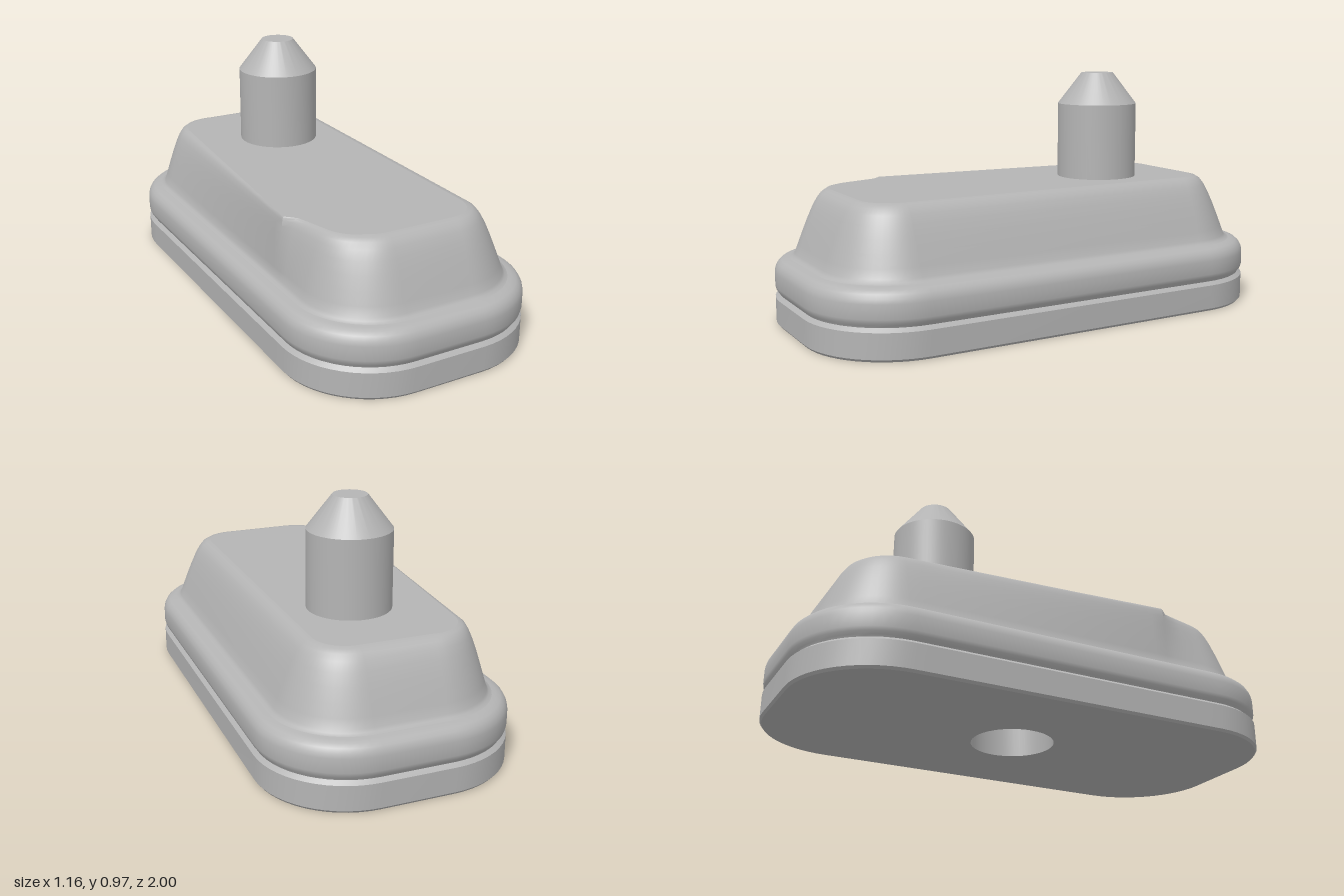
import * as THREE from 'three';
import { toCreasedNormals } from 'three/addons/utils/BufferGeometryUtils.js';

const TILT = THREE.MathUtils.degToRad(8);   // plan is turned slightly about y
const HALF_W = 0.493, HALF_L = 0.986, CORNER = 0.35;
const HOLE = { x: 0, z: -0.02, r: 0.165, depth: 0.36 };
const PIN = { x: -0.038, z: -0.378 };
const TOP_Y = 0.53, FOOT = 0.08;

// Rounded-rectangle outline: points, outward normals, and how far the wall leans in there
function makeOutline() {
  const out = [], cv = HALF_W - CORNER, cu = HALF_L - CORNER, n = 14;
  const add = (v, u, a, lean) => out.push({ v, u, nv: Math.cos(a), nu: Math.sin(a), lean });
  const corner = (sv, su, start, lean) => {
    for (let i = 0; i <= n; i++) {
      const a = start + (i / n) * Math.PI / 2;
      add(sv * cv + CORNER * Math.cos(a), su * cu + CORNER * Math.sin(a), a, lean(i / n));
    }
  };
  corner(1, 1, 0, () => 1);
  corner(-1, 1, Math.PI / 2, t => 1 - 0.3 * Math.max(0, t - 0.4) / 0.6);
  // right-hand side: the wall steepens towards the front, then breaks back
  add(-HALF_W, 0.56, Math.PI, 0.55);
  add(-HALF_W, 0.5, Math.PI, 0.42);
  for (let i = 0; i < 20; i++) {
    const t = i / 20;
    add(-HALF_W, THREE.MathUtils.lerp(0.46, -cu, t), Math.PI, THREE.MathUtils.lerp(0.15, 0.73, t));
  }
  corner(-1, -1, Math.PI, t => 0.73 + 0.27 * t);
  corner(1, -1, Math.PI * 1.5, () => 1);
  return out;
}

const outline = makeOutline();

// Outline moved inwards, as [x, z] pairs
function ring(inset) {
  const c = Math.cos(TILT), s = Math.sin(TILT);
  return outline.map(p => {
    const d = inset <= FOOT ? inset : FOOT + (inset - FOOT) * p.lean;
    const v = p.v - p.nv * d, u = p.u - p.nu * d;
    return [v * c + u * s, u * c - v * s];
  });
}

// Wall swept round the outline from a profile of [inset, y]
function loft(profile) {
  const pos = [], index = [], n = outline.length;
  for (const [inset, y] of profile) for (const [x, z] of ring(inset)) pos.push(x, y, z);
  for (let i = 0; i < profile.length - 1; i++) {
    for (let j = 0; j < n; j++) {
      const a = i * n + j, b = i * n + (j + 1) % n;
      index.push(a, a + n, b, b, a + n, b + n);
    }
  }
  const g = new THREE.BufferGeometry();
  g.setAttribute('position', new THREE.Float32BufferAttribute(pos, 3));
  g.setIndex(index);
  return toCreasedNormals(g, 0.65);
}

export function createModel() {
  const model = new THREE.Group();
  const grey = new THREE.MeshStandardMaterial({ color: 0xb4b4b4 });
  const add = (name, geometry, x = 0, y = 0, z = 0) => {
    const mesh = new THREE.Mesh(geometry, grey);
    mesh.name = name;
    mesh.position.set(x, y, z);
    model.add(mesh);
    return mesh;
  };

  // Base plate, groove and rounded rim
  add('basePlate', loft([[0.008, 0], [0, 0.01], [0, 0.108], [0.016, 0.122]]));
  add('rim', loft([
    [0.016, 0.122], [0.012, 0.13], [0.004, 0.14], [0, 0.155], [0, 0.21],
    [0.004, 0.227], [0.013, 0.243], [0.027, 0.255], [0.045, 0.26], [0.06, 0.263],
  ]));

  // Sloping upper body
  const bodyProfile = [
    [0.06, 0.263], [0.072, 0.269], [0.08, 0.28], [0.093, 0.315], [0.112, 0.365], [0.132, 0.415],
    [0.152, 0.46], [0.17, 0.493], [0.187, 0.515], [0.205, 0.526], [0.225, TOP_Y],
  ];
  add('upperBody', loft(bodyProfile));

  // Flat top
  const topShape = new THREE.Shape(ring(0.225).map(([x, z]) => new THREE.Vector2(x, -z)));
  add('topFace', new THREE.ShapeGeometry(topShape).rotateX(-Math.PI / 2), 0, TOP_Y, 0);

  // Underside with a blind round hole
  const bottomShape = new THREE.Shape(ring(0.008).map(([x, z]) => new THREE.Vector2(x, z)));
  bottomShape.holes.push(new THREE.Path().absarc(HOLE.x, HOLE.z, HOLE.r, 0, Math.PI * 2, true));
  add('underside', new THREE.ShapeGeometry(bottomShape, 24).rotateX(Math.PI / 2));
  const bore = new THREE.LatheGeometry([
    new THREE.Vector2(0, HOLE.depth), new THREE.Vector2(HOLE.r, HOLE.depth), new THREE.Vector2(HOLE.r, 0),
  ], 48);
  add('hole', toCreasedNormals(bore, 0.5), HOLE.x, 0, HOLE.z);

  // Locating pin with a conical tip
  const pin = new THREE.LatheGeometry([
    new THREE.Vector2(0.166, TOP_Y - 0.02), new THREE.Vector2(0.166, 0.84),
    new THREE.Vector2(0.067, 0.97), new THREE.Vector2(0, 0.97),
  ], 64);
  add('pin', toCreasedNormals(pin, 0.5), PIN.x, 0, PIN.z);

  return model;
}
